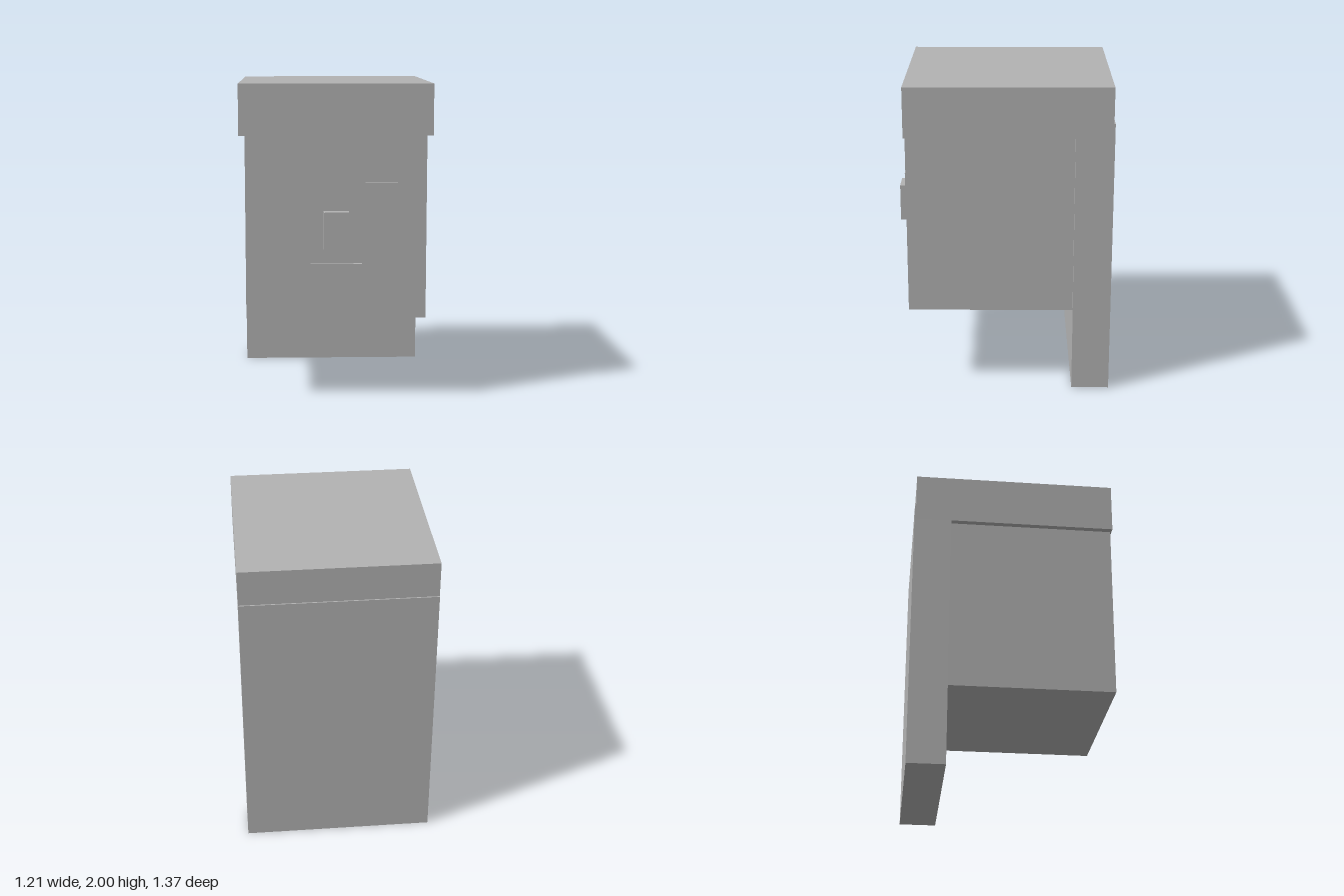
import * as THREE from 'three';

export function createModel() {
  const model = new THREE.Group();
  model.name = 'blockHead';
  const grey = new THREE.MeshStandardMaterial({ color: 0xb3b3b3 });
  grey.name = 'grey';

  // Box given by its lower and upper limits on each axis
  function block(name, [x0, x1], [y0, y1], [z0, z1]) {
    const mesh = new THREE.Mesh(new THREE.BoxGeometry(x1 - x0, y1 - y0, z1 - z0), grey);
    mesh.position.set((x0 + x1) / 2, (y0 + y1) / 2, (z0 + z1) / 2);
    mesh.name = name;
    model.add(mesh);
  }

  // Head, with the hair as a cap on top and a long slab behind
  block('head', [-0.565, 0.565], [0.53, 1.69], [-0.45, 0.605]);
  block('hairTop', [-0.603, 0.603], [1.68, 2], [-0.677, 0.613]);
  block('hairBack', [-0.603, 0.603], [0, 1.775], [-0.685, -0.445]);

  // Face
  block('leftEye', [0.182, 0.383], [1.195, 1.392], [0.595, 0.625]);
  block('rightEye', [-0.383, -0.182], [1.195, 1.392], [0.595, 0.625]);
  block('nose', [-0.078, 0.078], [0.972, 1.212], [0.595, 0.685]);
  block('mouth', [-0.162, 0.162], [0.82, 0.88], [0.595, 0.625]);

  return model;
}
